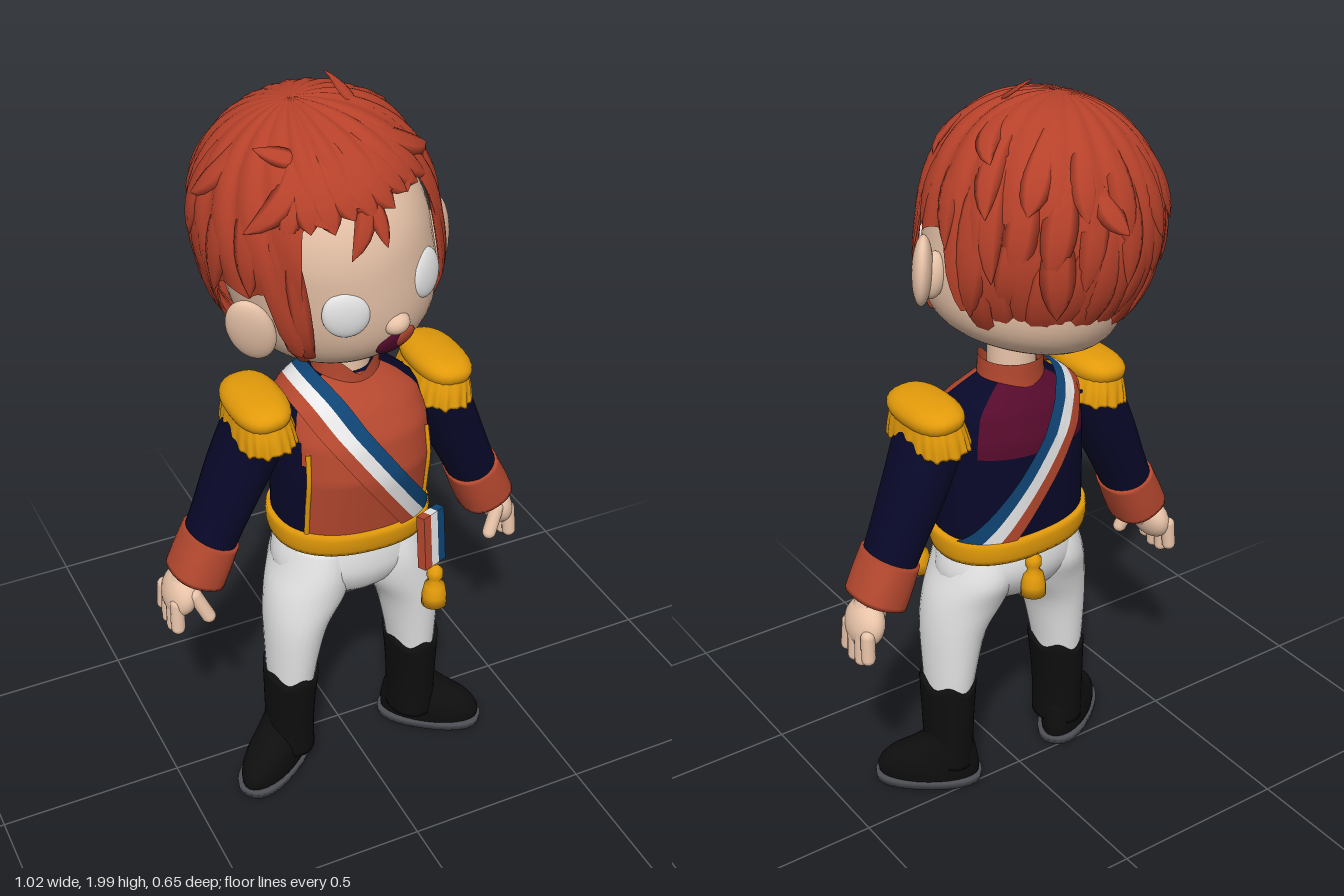
import * as THREE from 'three';

const mat = (name, color, side = THREE.FrontSide) => {
  const m = new THREE.MeshStandardMaterial({ color, side });
  m.name = name;
  return m;
};
const V = (x, y, z) => new THREE.Vector3(x, y, z);
const lerp = THREE.MathUtils.lerp;

// value from a table of [key, ...values], linear between rows
function table(rows, k) {
  let i = 0;
  while (i < rows.length - 2 && k > rows[i + 1][0]) i++;
  const t = THREE.MathUtils.clamp((k - rows[i][0]) / (rows[i + 1][0] - rows[i][0]), 0, 1);
  return rows[i].map((v, c) => lerp(v, rows[i + 1][c], t));
}

// tube-like surface: fn(angle, t) gives points, t runs upwards; pick chooses a material per cell
function surf(nu, nv, fn, { caps = true, pick = null } = {}) {
  const pos = [], idx = [], cells = [];
  for (let j = 0; j <= nv; j++)
    for (let i = 0; i < nu; i++) pos.push(...fn((i / nu) * Math.PI * 2, j / nv).toArray());
  const g = new THREE.BufferGeometry();
  for (let j = 0; j < nv; j++)
    for (let i = 0; i < nu; i++) {
      const a = j * nu + i, b = j * nu + ((i + 1) % nu);
      cells.push([pick ? pick(((i + 0.5) / nu) * Math.PI * 2, (j + 0.5) / nv) : 0, [a, b, b + nu, a, b + nu, a + nu]]);
    }
  if (caps) for (const j of [0, nv]) {
    const c = pos.length / 3, mid = V(0, 0, 0);
    for (let i = 0; i < nu; i++) mid.add(V(...pos.slice((j * nu + i) * 3, (j * nu + i) * 3 + 3)));
    pos.push(...mid.divideScalar(nu).toArray());
    for (let i = 0; i < nu; i++) {
      const a = j * nu + i, b = j * nu + ((i + 1) % nu);
      cells.push([0, j ? [a, b, c] : [b, a, c]]);
    }
  }
  cells.sort((p, q) => p[0] - q[0]);
  cells.forEach(([m, tri], k) => {
    if (pick && (!k || m !== cells[k - 1][0])) g.addGroup(idx.length, 0, m);
    idx.push(...tri);
    if (pick) g.groups[g.groups.length - 1].count += tri.length;
  });
  g.setAttribute('position', new THREE.Float32BufferAttribute(pos, 3));
  g.setIndex(idx);
  g.computeVertexNormals();
  return g;
}

// oval cross-section point; row = [y, cx, cz, rx, rz]
const oval = ([y, cx, cz, rx, rz], a, p = 2, grow = 0) => {
  const f = (v) => Math.sign(v) * Math.abs(v) ** (2 / p);
  return V(cx + (rx + grow) * f(Math.sin(a)), y, cz + (rz + grow) * f(Math.cos(a)));
};

// loft through oval rows, smoothed along its length
function loft(rows, { n = 28, p = 2, caps = true, wave = null, steps = 4 } = {}) {
  const spline = (t) => {
    const k = t * (rows.length - 1), i = Math.min(Math.floor(k), rows.length - 2), f = k - i;
    const r = (q) => rows[THREE.MathUtils.clamp(q, 0, rows.length - 1)];
    return rows[0].map((_, c) => {
      const a = r(i - 1)[c], b = r(i)[c], d = r(i + 1)[c], e = r(i + 2)[c];
      return b + 0.5 * f * (d - a + f * (2 * a - 5 * b + 4 * d - e + f * (3 * (b - d) + e - a)));
    });
  };
  return surf(n, (rows.length - 1) * steps, (a, t) => {
    const v = oval(spline(t), a, p);
    return wave ? wave(v, a, t) : v;
  }, { caps });
}

export function createModel() {
  const D = THREE.DoubleSide;
  const hairRed = mat('hair red', 0xb6412a, D), red = mat('coat red', 0xb5482f, D), navy = mat('navy', 0x08082a);
  const gold = mat('gold', 0xe29a0a), black = mat('boot black', 0x0e0e0e), skin = mat('skin', 0xeac5aa);
  const white = mat('white', 0xeaeaea, D), blue = mat('sash blue', 0x0f4474, D);
  const maroon = mat('maroon', 0x560b2c), grey = mat('sole grey', 0x4b4d53);

  const root = new THREE.Group();
  const add = (name, geo, m, parent = root, pos = [0, 0, 0], scale = [1, 1, 1], rot = [0, 0, 0]) => {
    const o = new THREE.Mesh(geo, m);
    o.name = name;
    o.position.set(...pos); o.scale.set(...scale); o.rotation.set(...rot);
    parent.add(o);
    return o;
  };
  const group = (name, parent = root) => { const g = new THREE.Group(); g.name = name; parent.add(g); return g; };
  const ball = new THREE.SphereGeometry(1, 28, 20);
  const rod = (name, a, b, r, m, parent) => {
    const o = add(name, new THREE.CapsuleGeometry(r, a.distanceTo(b), 5, 12), m, parent);
    o.position.copy(a).lerp(b, 0.5);
    o.quaternion.setFromUnitVectors(V(0, 1, 0), b.clone().sub(a).normalize());
  };

  // coat body: red front, navy sides, maroon yoke behind
  const bodyRows = [[0.76, 0, 0.055, 0.2, 0.15], [0.85, 0, 0.058, 0.205, 0.16], [1.0, 0, 0.067, 0.205, 0.175],
    [1.1, 0, 0.06, 0.2, 0.165], [1.17, 0, 0.048, 0.18, 0.13], [1.215, 0, 0.04, 0.125, 0.092], [1.24, 0, 0.04, 0.08, 0.07]];
  const body = (a, y, grow = 0) => oval(table(bodyRows, y), a, 2.3, grow);
  add('coat', surf(56, 32, (a, t) => body(a, lerp(0.76, 1.24, t)), {
    pick: (a, t) => {
      const b = Math.min(a, Math.PI * 2 - a);
      return b < 0.9 + 0.2 * THREE.MathUtils.smoothstep(t, 0.5, 0.8) ? 1 : b > 2.2 && t > 0.62 ? 2 : 0;
    },
  }), [navy, red, maroon]);
  for (const s of [-1, 1]) {
    const pts = [0.83, 0.92, 1.0, 1.08].map((y) => body(s * 0.9, y, 0.001));
    add('coatEdging', new THREE.TubeGeometry(new THREE.CatmullRomCurve3(pts), 16, 0.007, 8), gold);
  }
  add('belt', surf(56, 4, (a, t) => {
    const v = body(a, lerp(0.757, 0.825, t), 0.012 + 0.004 * Math.sin(t * Math.PI));
    v.y -= 0.05 * v.x;
    return v;
  }), gold);
  add('collar', loft([[1.18, 0, 0.04, 0.1, 0.092], [1.23, 0, 0.04, 0.088, 0.086], [1.285, 0, 0.04, 0.083, 0.086]], {
    caps: false, n: 40, wave: (v, a, t) => { v.y -= 0.04 * t * Math.max(0, Math.cos(a)) ** 12; return v; },
  }), red);
  add('neck', new THREE.CylinderGeometry(0.06, 0.066, 0.2, 24), skin, root, [0, 1.28, 0.035]);

  // sash: three stripes in a slanted loop over the right shoulder
  const sashPoint = (a, off) => {
    let lo = 0.76, hi = 1.24;
    for (let k = 0; k < 24; k++) {
      const y = (lo + hi) / 2;
      if (y < 1.018 + off - 1.5 * body(a, y).x) lo = y; else hi = y;
    }
    const v = body(a, lo, 0.01);
    v.y += 0.014 * THREE.MathUtils.smoothstep(lo, 1.12, 1.2);
    return v;
  };
  [red, white, blue].forEach((m, k) => add('sashStripe', surf(88, 2, (a, t) =>
    sashPoint(a, -0.087 + 0.058 * (k + t)), { caps: false }), m));
  const sashEnd = group('sashEnd');
  sashEnd.position.set(0.155, 0.765, 0.236);
  sashEnd.rotation.set(-0.12, 0.4, 0);
  [red, white, blue].forEach((m, k) => add('sashEndStripe', new THREE.BoxGeometry(0.027, 0.155, 0.026), m, sashEnd, [0.027 * (k - 1), 0, 0]));

  // tassels
  const tassel = new THREE.LatheGeometry([[0, -0.12], [0.034, -0.12], [0.033, -0.09], [0.027, -0.058], [0.015, -0.045],
    [0.022, -0.03], [0.021, -0.012], [0.01, 0], [0, 0.002]].map((p) => new THREE.Vector2(...p)), 18);
  add('frontTassel', tassel, gold, root, [0.155, 0.69, 0.264]);
  add('backTassel', tassel, gold, root, [0.025, 0.76, -0.1]);

  // breeches
  add('hips', loft([[0.575, 0, 0.065, 0.04, 0.04], [0.6, 0, 0.065, 0.13, 0.1], [0.66, 0, 0.06, 0.205, 0.14],
    [0.72, 0, 0.055, 0.212, 0.152], [0.8, 0, 0.055, 0.19, 0.145]]), white);
  for (const s of [-1, 1]) {
    add('breechesLeg', loft([[0.28, s * 0.183, 0.08, 0.06, 0.08], [0.36, s * 0.18, 0.08, 0.067, 0.09],
      [0.5, s * 0.165, 0.08, 0.085, 0.108], [0.6, s * 0.13, 0.072, 0.11, 0.125], [0.68, s * 0.11, 0.06, 0.105, 0.14],
      [0.76, s * 0.1, 0.06, 0.09, 0.13]]), white);

    // boot: straight shaft, foot with toes turned out
    add('bootShaft', loft([[0.06, s * 0.188, 0.08, 0.066, 0.082], [0.14, s * 0.188, 0.08, 0.064, 0.085],
      [0.22, s * 0.187, 0.081, 0.066, 0.089], [0.33, s * 0.183, 0.083, 0.072, 0.096]], {
      n: 40, wave: (v, a, t) => { if (t > 0.85) v.y += 0.012 * Math.cos(5 * a) * (t - 0.85) / 0.15; return v; },
    }), black);
    const foot = group('foot');
    foot.position.set(s * 0.2425, 0, 0.1);
    foot.rotation.y = s * 0.94;
    add('sole', loft([[0, 0, 0, 0.07, 0.148], [0.022, 0, 0, 0.072, 0.15]], { p: 2.4, steps: 1 }), grey, foot);
    add('bootFoot', loft([[0.02, 0, 0, 0.064, 0.14], [0.05, 0, 0, 0.067, 0.142], [0.085, 0, -0.01, 0.064, 0.127],
      [0.11, 0, -0.032, 0.06, 0.1], [0.14, 0, -0.052, 0.056, 0.07], [0.17, 0, -0.058, 0.05, 0.055]]), black, foot);

    // sleeve and cuff
    const arm = group('arm');
    arm.position.set(s * 0.235, 1.14, 0.035);
    arm.rotation.z = s * 0.41;
    add('sleeve', loft([[-0.4, 0, 0, 0.066, 0.08], [-0.3, 0, 0, 0.069, 0.086], [-0.15, 0, 0, 0.078, 0.098],
      [0, 0, 0.01, 0.08, 0.104], [0.04, 0, 0.01, 0.06, 0.08], [0.06, 0, 0.01, 0.02, 0.03]]), navy, arm);
    add('cuff', loft([[-0.478, 0, 0, 0.075, 0.086], [-0.42, 0, 0, 0.074, 0.087], [-0.355, 0, 0, 0.07, 0.086]],
      { p: 2.4 }), red, arm);

    // hand
    const hand = group('hand');
    rod('wrist', V(s * 0.415, 0.73, 0.03), V(s * 0.452, 0.67, 0.03), 0.046, skin, hand);
    add('palm', ball, skin, hand, [s * 0.466, 0.65, 0.025], [0.043, 0.065, 0.072], [0, 0, s * 0.3]);
    [-0.03, 0.002, 0.034, 0.065].forEach((z, k) =>
      rod('finger', V(s * 0.49, 0.64, z), V(s * 0.493, [0.578, 0.559, 0.556, 0.57][k], z * 1.1), 0.019, skin, hand));
    rod('thumb', V(s * 0.445, 0.665, 0.08), V(s * 0.416, 0.6, 0.095), 0.019, skin, hand);

    // epaulette
    const ep = group('epaulette');
    ep.position.set(s * 0.25, 1.185, 0.05);
    ep.rotation.z = s * -0.08;
    add('pad', loft([[-0.02, 0, 0, 0.066, 0.115], [0, 0, 0, 0.074, 0.125], [0.02, 0, 0, 0.07, 0.12],
      [0.038, 0, 0, 0.05, 0.09], [0.046, 0, 0, 0.015, 0.03]], { p: 2.5 }), gold, ep);
    add('fringe', loft([[-0.08, 0, 0, 0.081, 0.134], [-0.04, 0, 0, 0.076, 0.127], [0, 0, 0, 0.066, 0.115]], {
      n: 132, p: 2.5, wave: (v, a, t) => {
        const k = 1 + 0.035 * Math.cos(22 * a) * (1 - t);
        return V(v.x * k, v.y + 0.004 * Math.cos(11 * a) * (1 - t), v.z * k);
      },
    }), gold, ep);
  }

  // head, tilted and slightly turned
  const head = group('head');
  head.position.set(0, 1.3, 0);
  head.rotation.set(0, 0.15, 0.19, 'ZYX');
  const skull = [];
  for (let k = 0; k <= 32; k++) {
    const v = -Math.cos((k / 32) * Math.PI), n = v < 0 ? 3.5 : 2;
    skull.push(new THREE.Vector2(0.25 * Math.max(0, 1 - Math.abs(v) ** n) ** (1 / n), 0.29 * v));
  }
  add('face', new THREE.LatheGeometry(skull, 48), skin, head, [0, 0.32, 0.025], [1, 1, 1.14]);
  add('nose', ball, skin, head, [0, 0.172, 0.295], [0.034, 0.028, 0.03]);
  add('mouth', ball, maroon, head, [0, 0.112, 0.272], [0.054, 0.042, 0.016], [0.5, 0, 0]);
  add('tongue', ball, red, head, [0.02, 0.116, 0.279], [0.034, 0.031, 0.014], [0.5, 0.1, 0]);
  for (const s of [-1, 1]) {
    add('eye', ball, white, head, [s * 0.112, 0.245, 0.272], [0.057, 0.062, 0.02], [0, s * 0.42, 0]);
    add('ear', ball, skin, head, [s * 0.275, 0.205, 0.1], [0.026, 0.088, 0.06], [0, s * -0.75, s * -0.1]);
    add('earRoot', ball, skin, head, [s * 0.25, 0.195, 0.09], [0.035, 0.06, 0.035]);
  }

  // hair cap with hem falling round the ears
  const hemRows = [[0, 0.475], [0.62, 0.46], [0.76, 0.25], [0.84, 0.12], [0.96, 0.12], [1.02, 0.3], [1.5, 0.3], [1.68, 0.13], [3.15, 0.06]];
  const hairPoint = (a, y, grow) => {
    const v = THREE.MathUtils.clamp((y - 0.35) / 0.31, -1, 1);
    const n = v < 0 ? lerp(2, 3.5, THREE.MathUtils.smoothstep(Math.cos(a), -0.5, 0.3)) : 2.1;
    const r = (1 - Math.abs(v) ** n) ** (1 / n);
    const p = V(0.29 * r * Math.sin(a), y, (Math.cos(a) > 0 ? 0.312 : 0.3) * r * Math.cos(a));
    return p.addScaledVector(V(p.x, p.y - 0.35, p.z).normalize(), grow);
  };
  const hair = group('hair', head);
  add('hairCap', surf(160, 22, (a, t) => {
    const hem = table(hemRows, Math.min(a, Math.PI * 2 - a))[1] + 0.025 * Math.abs(Math.sin(a * 8));
    const y = 0.35 + 0.31 * Math.sin(lerp(Math.asin((hem - 0.35) / 0.31), Math.PI / 2, t));
    return hairPoint(a, y, 0.012 * (Math.abs(Math.sin(a * 10 + y * 6)) - 0.3) * Math.min(1, 2 * (1 - t)));
  }, { caps: false }), hairRed, hair);

  // pointed locks lying along the cap
  const lock = (a0, y0, a1, y1, w, lift = 0.02) => {
    const path = (t) => hairPoint(lerp(a0, a1, t * t), lerp(y0, y1, t), lift * t * t - 0.004);
    add('lock', surf(6, 8, (u, t) => {
      const c = path(t), N = V(c.x, c.y - 0.35, c.z).normalize();
      const S = N.clone().cross(path(t + 0.02).sub(path(t - 0.02))).normalize();
      const k = w * (0.35 + 1.3 * t) * (1 - t ** 2.5) + 0.001;
      return c.addScaledVector(S, Math.cos(u) * k).addScaledVector(N, Math.sin(u) * k * 0.3);
    }), hairRed, hair);
  };
  let seed = 7;
  const rnd = () => (seed = (seed * 16807) % 2147483647) / 2147483647;
  // rows round the back
  [[0.6, 0.4, 8], [0.53, 0.27, 9], [0.42, 0.16, 10], [0.3, 0.05, 11]].forEach(([y0, y1, n]) => {
    for (let k = 0; k < n; k++) {
      const a = lerp(1.75, Math.PI * 2 - 1.75, (k + 0.5 * rnd()) / (n - 0.5));
      lock(a, y0, a + 0.25 * (rnd() - 0.4), y1 + 0.06 * (rnd() - 0.5), 0.038 + 0.014 * rnd(), 0.004 + 0.018 * rnd());
    }
  });
  // fringe over the forehead
  for (let k = 0; k < 9; k++) {
    const a = lerp(-0.75, 0.75, k / 8);
    lock(a * 0.8 - 0.1, 0.61, a, 0.45 + 0.03 * rnd(), 0.045, 0.008);
  }
  lock(-0.02, 0.55, -0.3, 0.39, 0.03, 0.012);
  lock(0.02, 0.55, 0, 0.39, 0.025, 0.015);
  // sides, sideburns and stray tufts
  for (const s of [-1, 1]) {
    lock(s * 0.75, 0.5, s * 0.84, 0.06, 0.03, 0.002);
    lock(s * 0.88, 0.5, s * 0.93, 0.03, 0.028, 0.004);
    lock(s * 1.1, 0.58, s * 1.15, 0.31, 0.04, 0.012);
    lock(s * 1.4, 0.56, s * 1.55, 0.29, 0.042, 0.016);
    lock(s * 1.7, 0.5, s * 1.8, 0.13, 0.04, 0.01);
    lock(s * 0.6, 0.62, s * 1.1, 0.47, 0.04, 0.022);
    lock(s * 1.5, 0.63, s * 1.8, 0.5, 0.04, 0.022);
  }
  lock(1.0, 0.62, 1.5, 0.648, 0.024, 0.045);
  lock(-0.6, 0.6, -1.1, 0.61, 0.028, 0.03);
  lock(2.8, 0.5, 3.0, 0.4, 0.04, 0.035);
  return root;
}
